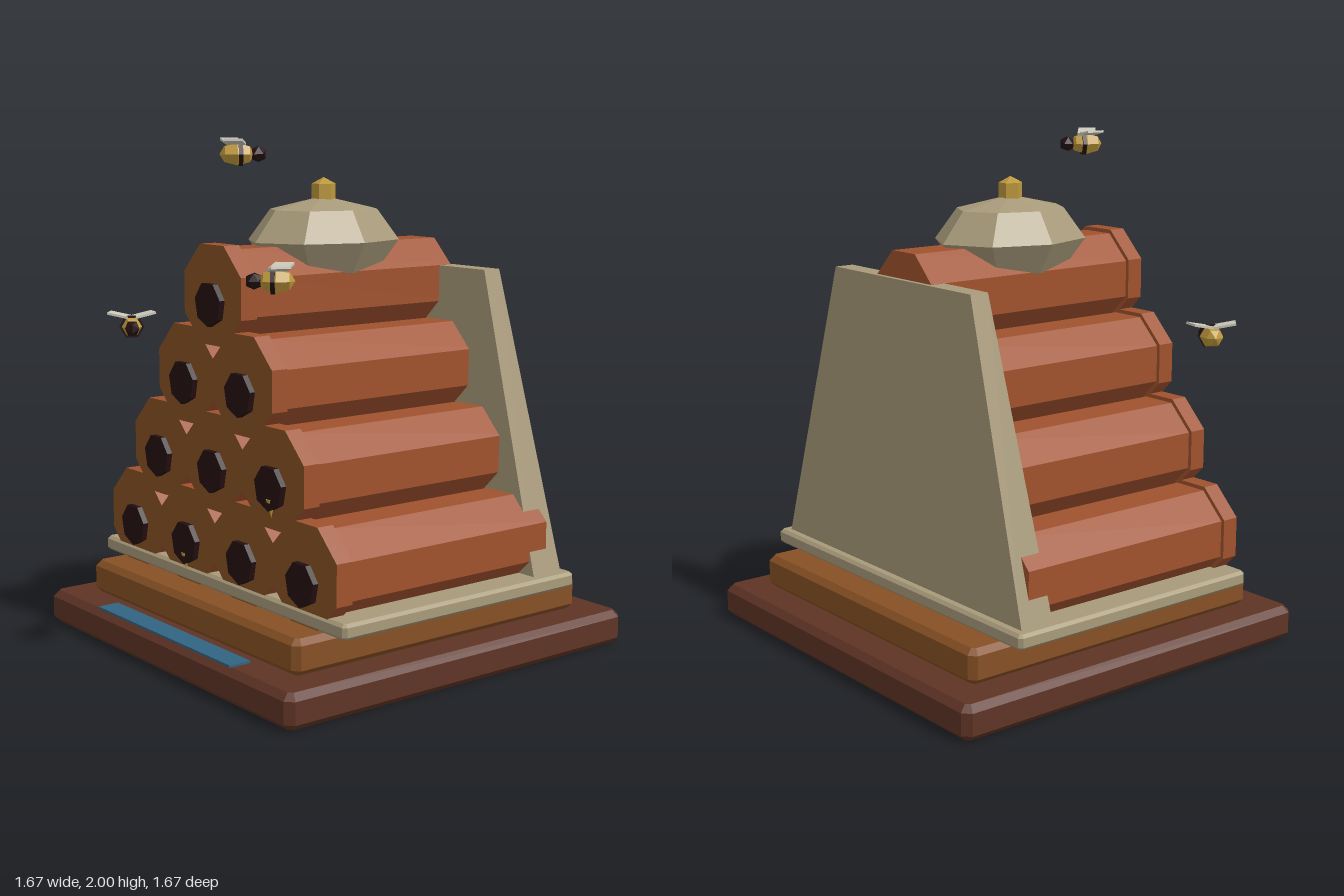
import * as THREE from 'three';

const mat = (name, color) => {
  const m = new THREE.MeshStandardMaterial({ color, flatShading: true });
  m.name = name;
  return m;
};

export function createModel() {
  const darkWood = mat('dark wood', 0x5f3425);
  const midWood = mat('brown wood', 0x865024);
  const clay = mat('red clay', 0xa0522d);
  const stone = mat('stone', 0xa89a7a);
  const black = mat('near black', 0x240f12);
  const gold = mat('gold', 0xbd983b);
  const blue = mat('blue', 0x326482);
  const wingWhite = mat('wing white', 0xccc8bb);

  const model = new THREE.Group();
  model.name = 'logHive';

  const add = (parent, name, geometry, material, x = 0, y = 0, z = 0) => {
    const mesh = new THREE.Mesh(geometry, material);
    mesh.name = name;
    mesh.position.set(x, y, z);
    parent.add(mesh);
    return mesh;
  };

  // Prism lying along z, with its first cap facing the front
  const prism = (radius, length, sides, turn = 0) =>
    new THREE.CylinderGeometry(radius, radius, length, sides).rotateY(turn).rotateX(Math.PI / 2);

  // Slab with chamfered edges and clipped corners, standing on y = 0
  const slab = (hx, hz, height, bevel) => {
    const a = hx - bevel, b = hz - bevel, c = bevel * 0.6;
    const shape = new THREE.Shape([
      [a - c, -b], [a, c - b], [a, b - c], [a - c, b],
      [c - a, b], [-a, b - c], [-a, c - b], [c - a, -b],
    ].map(([x, y]) => new THREE.Vector2(x, y)));
    return new THREE.ExtrudeGeometry(shape, {
      depth: height - 2 * bevel, bevelEnabled: true, bevelSegments: 1,
      bevelSize: bevel, bevelThickness: bevel,
    }).translate(0, 0, bevel).rotateX(-Math.PI / 2);
  };

  // Stepped base
  add(model, 'lowerBase', slab(0.837, 0.833, 0.135, 0.025), darkWood);
  add(model, 'middleBase', slab(0.703, 0.703, 0.135, 0.022), midWood, 0, 0.135);
  add(model, 'stoneShelf', slab(0.813, 0.573, 0.06, 0.012), stone, 0, 0.27);
  add(model, 'bluePlate', new THREE.BoxGeometry(0.925, 0.009, 0.09), blue, 0, 0.1395, 0.773);

  // Back slab, tapering upwards
  const back = new THREE.BoxGeometry(2, 1.17, 2);
  const p = back.attributes.position;
  for (let i = 0; i < p.count; i++) {
    const top = p.getY(i) > 0;
    p.setX(i, p.getX(i) * (top ? 0.437 : 0.775));
    p.setZ(i, p.getZ(i) > 0 ? (top ? -0.42 : -0.39) : (top ? -0.5 : -0.535));
  }
  add(model, 'backSlab', back, stone, 0, 0.905, 0);

  // Pyramid of eight-sided logs, each with a front rim and a dark entrance
  const toRadius = 1 / Math.cos(Math.PI / 8);
  const bodyGeo = prism(0.175 * toRadius, 0.98, 8, Math.PI / 8);
  const rimGeo = prism(0.19 * toRadius, 0.07, 8, Math.PI / 8);
  const holeGeo = prism(0.086, 0.03, 7);
  for (let row = 0; row < 4; row++) {
    for (let i = 0; i <= row; i++) {
      const log = new THREE.Group();
      log.name = 'log';
      log.position.set((i - row / 2) * 0.38, 1.418 - row * 0.32, 0);
      add(log, 'logBody', bodyGeo, clay, 0, 0, 0.01);
      add(log, 'logRim', rimGeo, [clay, midWood, clay], 0, 0, 0.53);
      add(log, 'entrance', holeGeo, black, 0, -0.033, 0.573);
      model.add(log);
    }
  }

  // Honey drips below two entrances
  for (const [x, y] of [[0.385, 0.67], [-0.19, 0.35]]) {
    add(model, 'honeyDrip', new THREE.ConeGeometry(0.02, 0.07, 5).rotateX(Math.PI), gold, x, y, 0.575);
  }

  // Faceted stone cap with a gold knob
  add(model, 'capStone', new THREE.SphereGeometry(1, 8, 4).scale(0.258, 0.17, 0.33), stone, 0, 1.605, 0.035);
  add(model, 'knob', new THREE.CylinderGeometry(0.047, 0.047, 0.07, 6).rotateY(Math.PI / 6), gold, 0, 1.788, 0.035);
  add(model, 'knobTip', new THREE.ConeGeometry(0.047, 0.025, 6).rotateY(Math.PI / 6), gold, 0, 1.8355, 0.035);

  // Bees: position, then heading in x and z
  const bees = [
    [0.1, 1.945, 0.515, 0.5, -0.87],
    [-0.61, 1.24, 0.55, 0.87, 0.5],
    [0.55, 1.52, 0.665, -0.65, 0.76],
  ];
  for (const [x, y, z, dx, dz] of bees) {
    const bee = new THREE.Group();
    bee.name = 'bee';
    bee.position.set(x, y, z);
    bee.rotation.y = Math.atan2(dx, dz);
    add(bee, 'beeBody', new THREE.SphereGeometry(1, 6, 4).rotateX(Math.PI / 2).scale(0.047, 0.047, 0.065), gold);
    add(bee, 'beeStripe', prism(0.05, 0.016, 6, Math.PI / 6), black, 0, 0, 0.012);
    add(bee, 'beeHead', new THREE.IcosahedronGeometry(0.033), black, 0, 0, 0.078);
    for (const side of [-1, 1]) {
      const wing = add(bee, 'wing', new THREE.BoxGeometry(0.085, 0.009, 0.07), wingWhite, side * 0.05, 0.046, -0.012);
      wing.rotation.set(0, side * 0.25, side * 0.2);
    }
    model.add(bee);
  }

  return model;
}
